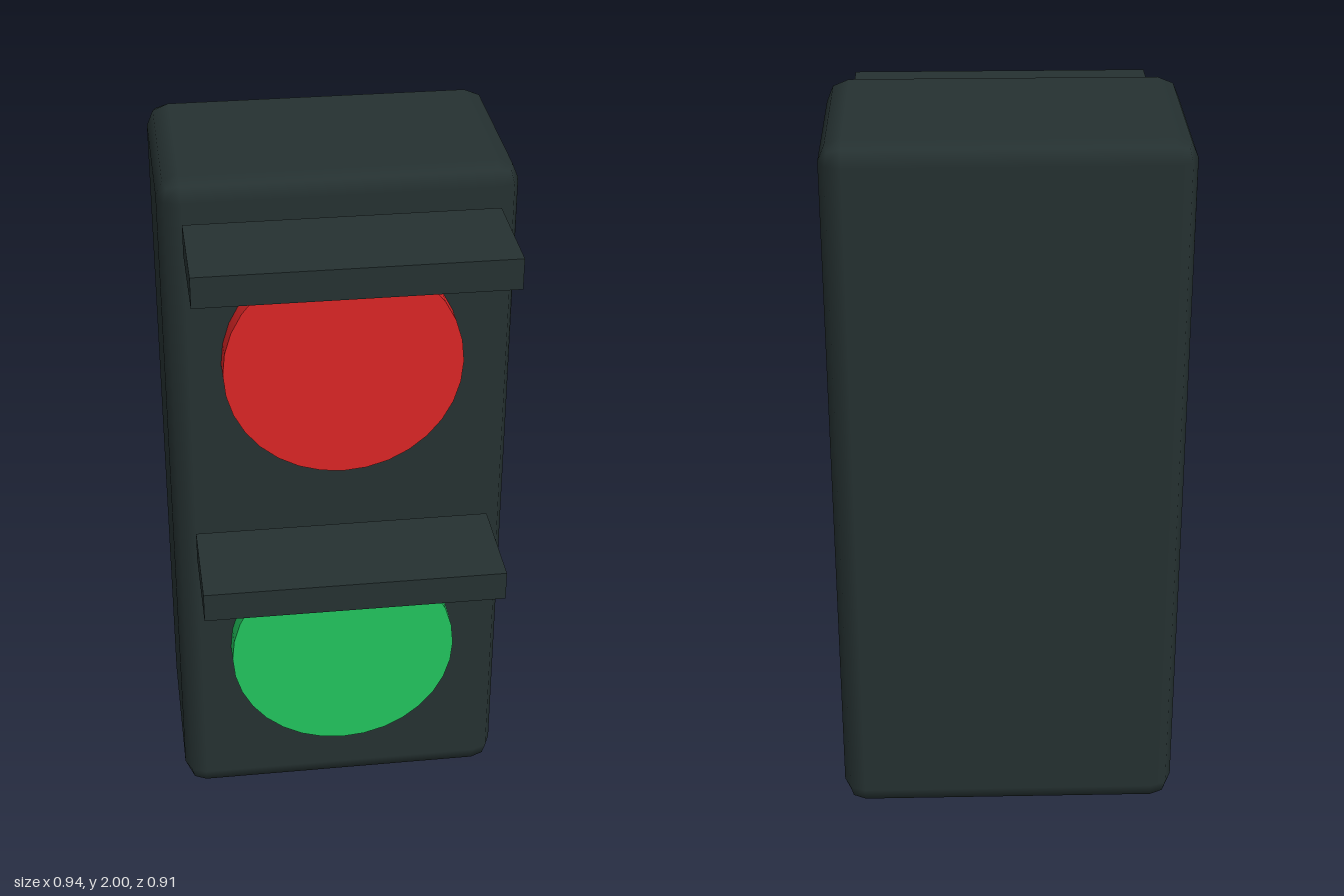
import * as THREE from 'three';
import { RoundedBoxGeometry } from 'three/addons/geometries/RoundedBoxGeometry.js';

export function createModel() {
  const model = new THREE.Group();
  model.name = 'trafficLight';

  const material = (name, color) => {
    const m = new THREE.MeshStandardMaterial({ color });
    m.name = name;
    return m;
  };
  const housingDark = material('housing dark', 0x253131);
  const signalRed = material('signal red', 0xdc2626);
  const signalGreen = material('signal green', 0x22c55e);

  const add = (name, geometry, mat, x, y, z) => {
    const mesh = new THREE.Mesh(geometry, mat);
    mesh.name = name;
    mesh.position.set(x, y, z);
    model.add(mesh);
  };

  // Housing with softly bevelled edges
  add('housing', new RoundedBoxGeometry(0.94, 2, 0.585, 1, 0.06), housingDark, 0, 1, -0.1625);

  // Each signal is a round lens with a flat visor floating in front, above it
  const lens = new THREE.CylinderGeometry(0.322, 0.322, 0.12, 32).rotateX(Math.PI / 2);
  const visor = new THREE.BoxGeometry(0.82, 0.084, 0.293);
  for (const [name, y, mat] of [['red', 1.473, signalRed], ['green', 0.53, signalGreen]]) {
    add(`${name}Lens`, lens, mat, 0, y, 0.13);
    add(`${name}Visor`, visor, housingDark, 0, y + 0.385, 0.3085);
  }

  return model;
}
